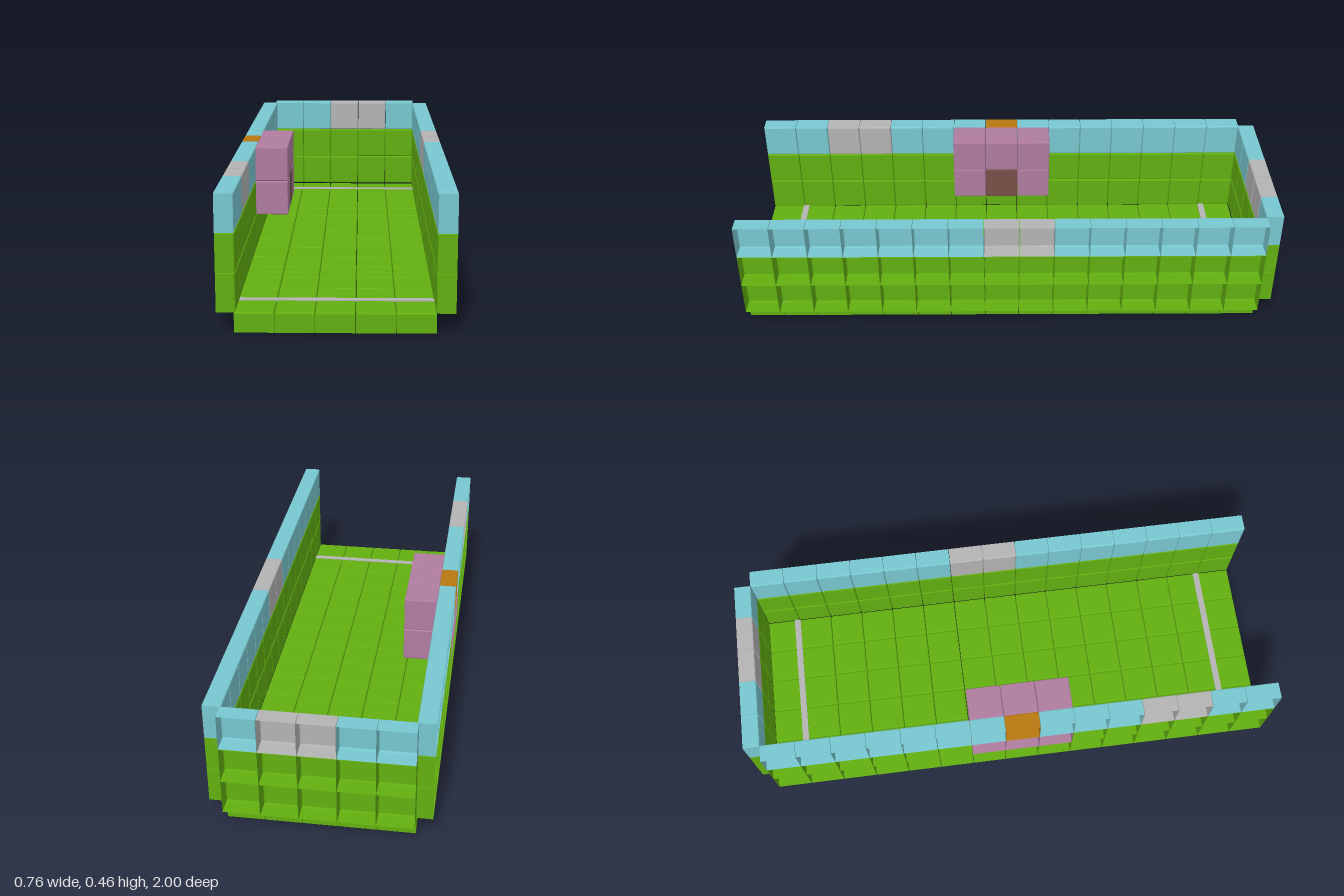
import * as THREE from 'three';
import { RoundedBoxGeometry } from 'three/addons/geometries/RoundedBoxGeometry.js';

const P = 0.1293; // tile pitch

export function createModel() {
  const model = new THREE.Group();
  model.name = 'tiledRoom';

  const mat = (color) => new THREE.MeshStandardMaterial({ color, flatShading: true, side: THREE.DoubleSide });
  const green = mat(0x62b010), cyan = mat(0x78c8d0), grey = mat(0xb4b4b4);
  const mauve = mat(0xb07ca0), orange = mat(0xb87810), brown = mat(0x765048);

  // Hollow half-block tile: square, bevelled face at y = depth, open at y = 0
  const tileGeometry = (depth) => {
    const s = Math.SQRT2;
    const profile = [
      [0, depth], [0.0590 * s, depth], [0.0625 * s, depth - 0.0015], [0.0638 * s, depth - 0.005], [0.0638 * s, 0],
    ].map(([x, y]) => new THREE.Vector2(x, y));
    return new THREE.LatheGeometry(profile, 4).rotateY(Math.PI / 4);
  };
  const floorTile = tileGeometry(0.067);
  const wallTile = tileGeometry(0.0625);

  const add = (parent, name, geometry, material, x, y, z) => {
    const mesh = new THREE.Mesh(geometry, material);
    mesh.name = name;
    mesh.position.set(x, y, z);
    parent.add(mesh);
    return mesh;
  };
  const group = (name) => {
    const g = new THREE.Group();
    g.name = name;
    model.add(g);
    return g;
  };
  const cellX = (i) => (i - 2) * P - 0.002;
  const cellZ = (k) => -0.94 + (k + 0.5) * P;
  const rowY = (r) => 0.0655 + (r + 0.5) * 0.13;

  // Floor, open underneath
  const floor = group('floor');
  for (let i = 0; i < 5; i++) {
    for (let k = 0; k < 15; k++) add(floor, 'floorTile', floorTile, green, cellX(i), 0, cellZ(k));
  }

  // Two thin lines across the floor
  for (const z of [-0.82, 0.863]) {
    add(model, 'floorLine', new THREE.BoxGeometry(0.64, 0.006, 0.024), grey, 0, 0.067, z);
  }

  // Side walls, smooth face inward and open outward
  for (const side of [1, -1]) {
    const wall = group(side > 0 ? 'leftWall' : 'rightWall');
    const greyCells = side > 0 ? [6, 7] : [11, 12];
    for (let r = 0; r < 3; r++) {
      for (let k = 0; k < 15; k++) {
        let material = green;
        if (r === 2) material = greyCells.includes(k) ? grey : cyan;
        if (side < 0 && k === 7 && r === 2) material = orange;
        if (side < 0 && r === 1 && k >= 6 && k <= 8) material = mauve;
        add(wall, 'wallTile', wallTile, material, side * 0.381, rowY(r), cellZ(k)).rotation.z = side * Math.PI / 2;
      }
    }
  }

  // Back wall, open to the rear
  const back = group('backWall');
  for (let r = 0; r < 3; r++) {
    for (let i = 0; i < 5; i++) {
      const material = r < 2 ? green : (i === 2 || i === 3 ? grey : cyan);
      add(back, 'backTile', wallTile, material, cellX(i), rowY(r) + 0.003, -1).rotation.x = Math.PI / 2;
    }
  }

  // Block cluster hung on the inside of the right wall
  const cluster = group('wallBlocks');
  const cube = new RoundedBoxGeometry(0.122, 0.1285, 0.1278, 1, 0.004);
  for (let r = 1; r < 3; r++) {
    for (let k = 6; k < 9; k++) {
      add(cluster, 'block', cube, r === 1 && k === 7 ? brown : mauve, -0.259, rowY(r), cellZ(k));
    }
  }
  return model;
}
